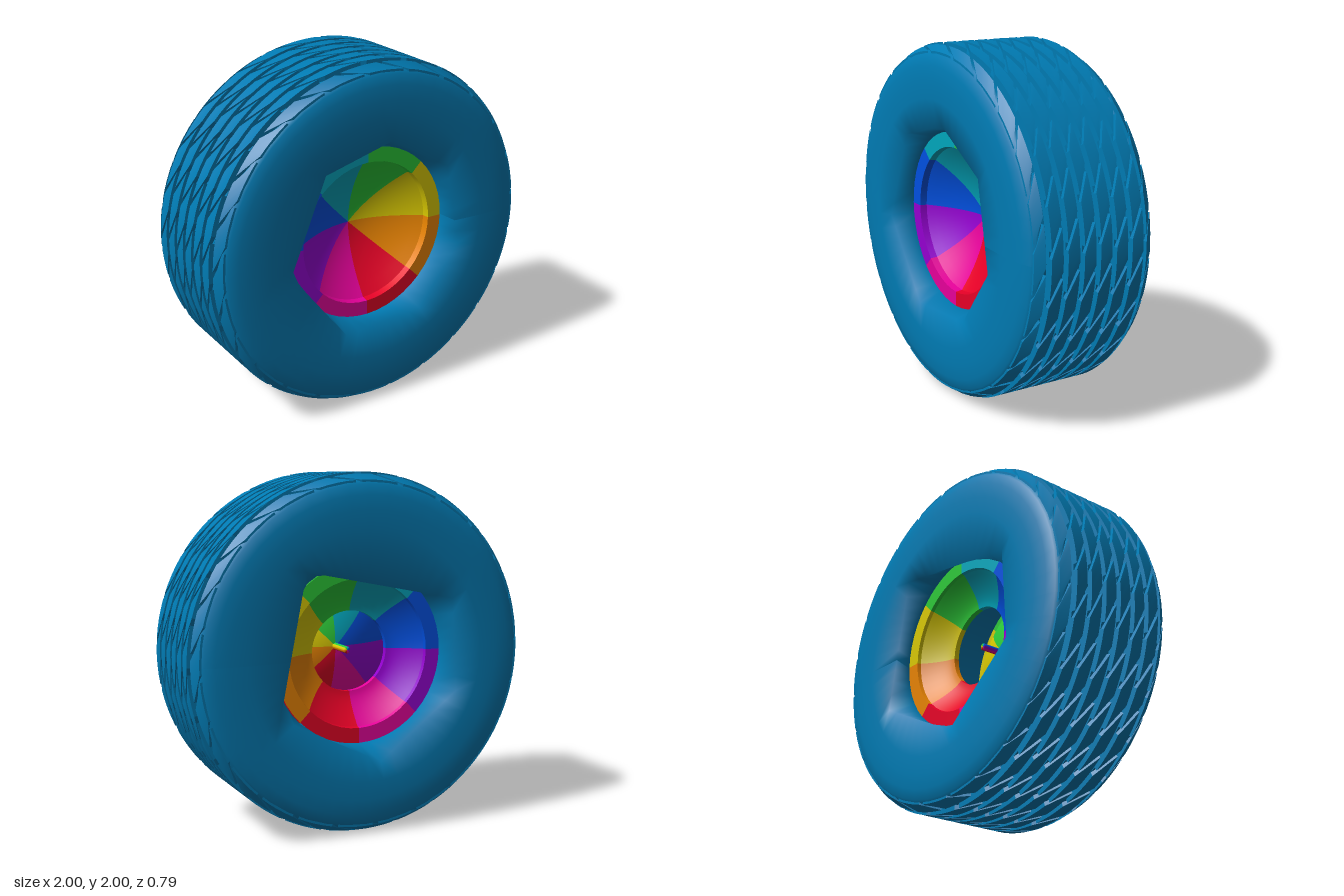
import * as THREE from 'three';
import { mergeGeometries } from 'three/addons/utils/BufferGeometryUtils.js';

const TAU = Math.PI * 2;
const mat = (name, color, side = THREE.FrontSide) =>
  Object.assign(new THREE.MeshStandardMaterial({ color, side }), { name });

// Lathe about the z axis; points are [radius, z], start is the angle from +x.
function latheZ(points, segments, start = 0, arc = TAU) {
  const pts = points.map(([r, z]) => new THREE.Vector2(r, z));
  return new THREE.LatheGeometry(pts, segments, start + Math.PI / 2, arc).rotateX(Math.PI / 2);
}

// Outer radius of the tread at a given z, dropping off at the shoulders.
function treadRadius(z) {
  const d = Math.abs(z);
  return d < 0.3 ? 1 : 0.99 - (d - 0.313) * 0.65;
}

// Box bent round the wheel; skew slants its ends across the rib.
function bentBlock(theta, arc, segments, z0, width, drop, skew) {
  const g = new THREE.BoxGeometry(1, 1, 1, segments, 1, 1);
  const p = g.attributes.position;
  for (let i = 0; i < p.count; i++) {
    const z = z0 + p.getZ(i) * width;
    const a = theta - p.getX(i) * arc - p.getZ(i) * skew;
    const r = treadRadius(z) - (p.getY(i) > 0 ? drop : 0.06);
    p.setXYZ(i, r * Math.cos(a), r * Math.sin(a), z);
  }
  g.computeVertexNormals();
  return g;
}

// Distance from the centre to the side of a polygon with corners at the given degrees.
function polygonRadius(angle, corners, radius) {
  const deg = ((THREE.MathUtils.radToDeg(angle) % 360) + 360) % 360;
  let i = corners.findIndex((c) => c > deg);
  if (i < 0) i = 0;
  const prev = corners[(i + corners.length - 1) % corners.length];
  const half = ((corners[i] - prev + 360) % 360) / 2;
  const off = ((deg - prev + 360) % 360) - half;
  return radius * Math.cos(THREE.MathUtils.degToRad(half)) / Math.cos(THREE.MathUtils.degToRad(off));
}

// Tyre carcass whose side openings are faceted.
function carcassGeometry() {
  const LIP = 0.59;
  const g = latheZ([
    [0.95, -0.31], [0.95, 0.31], [0.968, 0.316], [0.962, 0.35], [0.935, 0.372], [0.88, 0.387],
    [0.8, 0.393], [0.7, 0.393], [LIP, 0.38], [0.51, 0.26], [0.51, -0.26], [LIP, -0.38],
    [0.7, -0.393], [0.8, -0.393], [0.88, -0.387], [0.935, -0.372], [0.962, -0.35],
    [0.968, -0.316], [0.95, -0.31],
  ], 48);
  const front = [37.5, 82.5, 127.5, 187.5, 247.5, 300, 345];
  const rear = [52.5, 150, 202.5, 262.5, 330];
  const p = g.attributes.position;
  for (let i = 0; i < p.count; i++) {
    const x = p.getX(i), y = p.getY(i), z = p.getZ(i);
    if (Math.abs(Math.hypot(x, y) - LIP) > 0.01) continue;
    const a = Math.atan2(y, x);
    const r = z > 0 ? polygonRadius(a, front, 0.57) : polygonRadius(a, rear, 0.6);
    p.setXYZ(i, r * Math.cos(a), r * Math.sin(a), z);
  }
  g.computeVertexNormals();
  return g;
}

export function createModel() {
  const model = new THREE.Group();
  const wheel = new THREE.Group();
  wheel.name = 'wheel';
  wheel.position.y = 1;
  model.add(wheel);

  const add = (name, geometry, material, parent = wheel) => {
    const mesh = new THREE.Mesh(geometry, material);
    mesh.name = name;
    parent.add(mesh);
  };

  // Tyre carcass: groove floor, sidewalls and bore
  const tyreBlue = mat('tyre blue', 0x007ab2);
  add('tyreBody', carcassGeometry(), tyreBlue);

  // Tread: six ribs and two narrow shoulders, each a low band with slanted blocks
  const bands = [], blocks = [];
  const count = 24, step = TAU / count;
  for (let rib = 0; rib < 8; rib++) {
    const shoulder = rib === 0 || rib === 7;
    const z = shoulder ? Math.sign(rib - 1) * 0.338 : -0.35 + rib * 0.1;
    const width = shoulder ? 0.05 : 0.07;
    bands.push(bentBlock(0, TAU, 72, z, width, 0.025, 0));
    for (let i = 0; i < count; i++) {
      const theta = (i + (rib % 2) * 0.12) * step;
      blocks.push(bentBlock(theta, step - 0.038, 4, z, width, 0, 0.15));
    }
  }
  add('treadBands', mergeGeometries(bands), tyreBlue);
  add('treadBlocks', mergeGeometries(blocks), tyreBlue);

  // Rim profiles: flat edge rings, front bowl, open rear bowl and spindle
  const frontBowl = [], rearBowl = [];
  for (let i = 0; i <= 10; i++) {
    const t = 1 - i / 10;
    frontBowl.push([0.415 * t, 0.06 + 0.16 * Math.pow(t, 1.9)]);
    rearBowl.push([0.415 - 0.185 * t, -0.13 - 0.11 * Math.pow(1 - t, 1.5)]);
  }
  const rimParts = {
    frontRing: [[0.505, 0.26], [0.42, 0.26]],
    frontStep: [[0.42, 0.26], [0.415, 0.22]],
    frontBowl,
    rearRing: [[0.42, -0.26], [0.505, -0.26]],
    rearStep: [[0.415, -0.24], [0.42, -0.26]],
    rearBowl,
    hubHole: [[0.23, -0.1], [0.23, -0.13]],
    spindle: [[0, -0.1], [0.02, -0.1], [0.02, 0.06]],
  };

  // Eight coloured wedges, counter-clockwise from +x
  const wedges = [
    ['yellow', 0xd8c800], ['green', 0x2cc838], ['teal', 0x00a6bc], ['blue', 0x0050e0],
    ['purple', 0x9400d0], ['magenta', 0xe6009a], ['red', 0xe60026], ['orange', 0xe68200],
  ];
  wedges.forEach(([name, color], i) => {
    const group = new THREE.Group();
    group.name = `${name}RimWedge`;
    wheel.add(group);
    const material = mat(name, color, THREE.DoubleSide);
    for (const [part, profile] of Object.entries(rimParts))
      add(part, latheZ(profile, 6, i * TAU / 8, TAU / 8), material, group);
  });

  return model;
}
